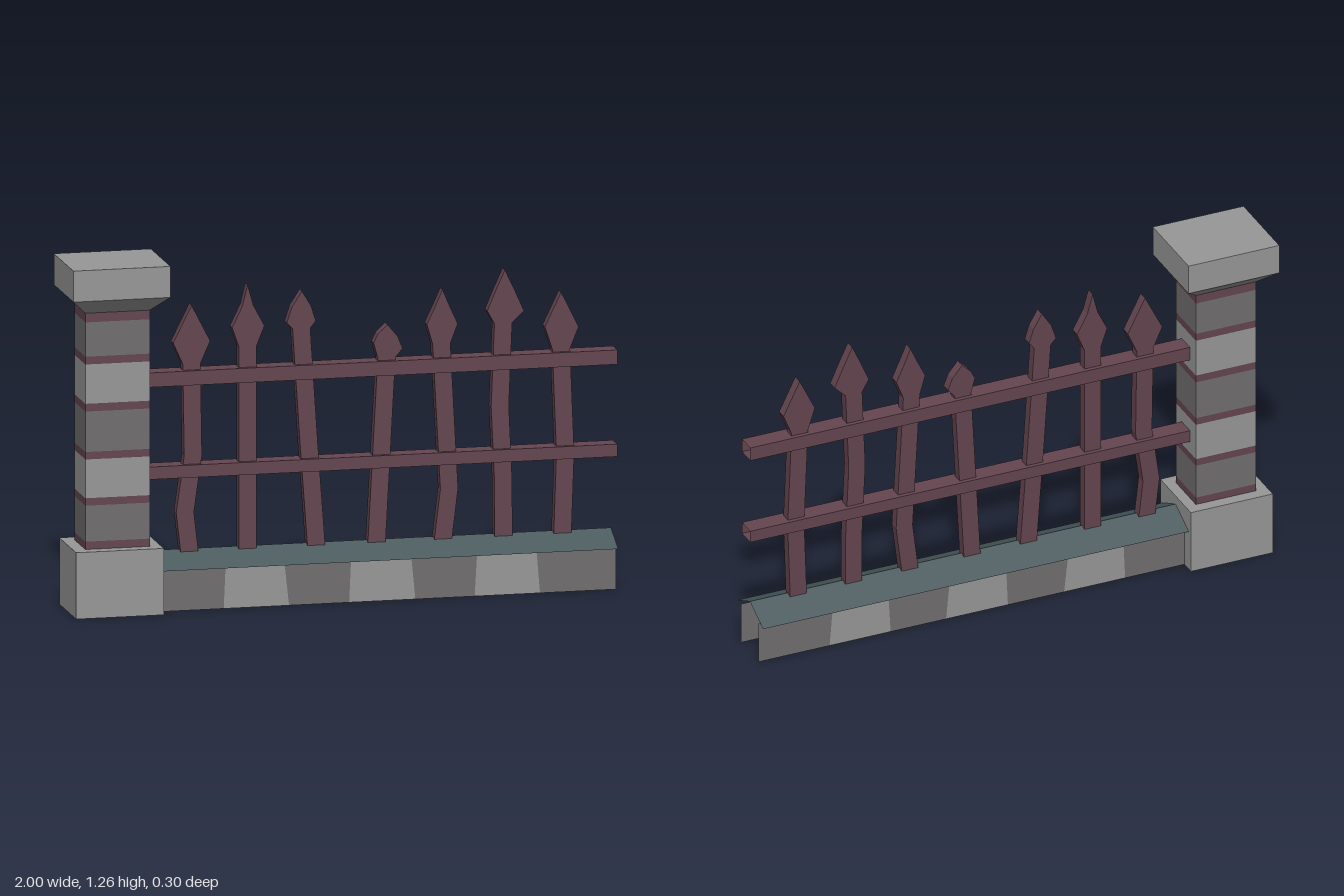
import * as THREE from 'three';

const mat = (name, color) => {
  const m = new THREE.MeshStandardMaterial({ color, side: THREE.DoubleSide, flatShading: true });
  m.name = name;
  return m;
};

// Faces of a box, in BoxGeometry order
const PX = 0, NX = 1, PY = 2, NY = 3, PZ = 4, NZ = 5;
const SIDES = [PX, NX, PZ, NZ];

// Box between two corners that keeps only the listed faces
function box(x0, x1, y0, y1, z0, z1, keep) {
  const g = new THREE.BoxGeometry(x1 - x0, y1 - y0, z1 - z0);
  g.translate((x0 + x1) / 2, (y0 + y1) / 2, (z0 + z1) / 2);
  const index = Array.from(g.index.array);
  g.clearGroups();
  g.setIndex(keep.flatMap((f) => index.slice(f * 6, f * 6 + 6)));
  return g;
}

// Move every vertex of a geometry by a rule
function reshape(g, rule) {
  const p = g.attributes.position;
  const v = new THREE.Vector3();
  for (let i = 0; i < p.count; i++) {
    rule(v.fromBufferAttribute(p, i));
    p.setXYZ(i, v.x, v.y, v.z);
  }
  g.computeVertexNormals();
  return g;
}

export function createModel() {
  const model = new THREE.Group();
  const light = mat('light stone', 0x979797);
  const dark = mat('dark stone', 0x706d6e);
  const iron = mat('rusty iron', 0x64454f);
  const slate = mat('slate', 0x4a5a5d);

  const add = (name, geometry, material, parent = model) => {
    const mesh = new THREE.Mesh(geometry, material);
    mesh.name = name;
    parent.add(mesh);
    return mesh;
  };
  const group = (name) => {
    const g = new THREE.Group();
    g.name = name;
    model.add(g);
    return g;
  };

  // Pillar: base, banded shaft, flared cap
  const pillar = group('pillar');
  const cx = -0.824;
  add('pillarBase', box(-0.985, -0.667, 0, 0.24, -0.13, 0.13, [...SIDES, PY]), light, pillar);
  const bands = [0.24, 0.268, 0.398, 0.425, 0.565, 0.592, 0.738, 0.766, 0.908, 0.936, 1.06, 1.093];
  for (let i = 0; i < bands.length - 1; i++) {
    const joint = i % 2 === 0;
    const stone = i % 4 === 1 ? dark : light;
    add(joint ? 'shaftJoint' : 'shaftBlock',
      box(-0.941, -0.707, bands[i], bands[i + 1], -0.085, 0.085, SIDES), joint ? iron : stone, pillar);
  }
  const flare = box(-1, -0.648, 1.093, 1.15, -0.152, 0.152, SIDES);
  add('capFlare', reshape(flare, (v) => {
    if (v.y < 1.12) {
      v.x = cx + Math.sign(v.x - cx) * 0.117;
      v.z = Math.sign(v.z) * 0.085;
    }
  }), light, pillar);
  add('pillarCap', box(-1, -0.648, 1.15, 1.262, -0.152, 0.152, [...SIDES, PY]), light, pillar);

  // Low wall: front and back faces of alternating blocks with slightly slanted joints
  const wall = group('wall');
  const joints = [ // [x at top, x at bottom]
    [-0.667, -0.667], [-0.43, -0.437], [-0.217, -0.2], [0.025, 0.018], [0.243, 0.258],
    [0.482, 0.473], [0.697, 0.71], [0.985, 0.985],
  ];
  for (let i = 0; i < 7; i++) {
    const g = box(0, 1, 0, 0.157, -0.075, 0.075, [PZ, NZ]);
    add('wallBlock', reshape(g, (v) => {
      v.x = joints[i + Math.round(v.x)][v.y > 0.05 ? 0 : 1];
    }), i % 2 ? light : dark, wall);
  }

  // Sloping coping on the wall, open underneath
  const coping = new THREE.PlaneGeometry(1.652, 0.224, 1, 2);
  coping.rotateX(-Math.PI / 2);
  coping.translate(0.159, 0, 0);
  add('coping', reshape(coping, (v) => {
    v.y = Math.abs(v.z) > 0.05 ? 0.153 : 0.207;
  }).toNonIndexed(), slate, wall).geometry.computeVertexNormals();

  // Rails, open at the ends
  const fence = group('fence');
  for (const [y0, y1] of [[0.47, 0.515], [0.803, 0.855]]) {
    add('rail', box(-0.71, 1, y0, y1, -0.035, 0.035, [PY, NY, PZ, NZ]), iron, fence);
  }

  // Crooked pickets: centre line from the foot to the neck, then the spear head
  const pickets = [
    { line: [[-0.548, 0.2], [-0.564, 0.342], [-0.535, 0.545], [-0.54, 0.877]],
      left: [-0.607, 0.955], right: [-0.473, 0.957], tip: [-0.54, 1.088], bulge: 0.5 },
    { line: [[-0.337, 0.2], [-0.337, 0.93]],
      left: [-0.393, 1.0], right: [-0.276, 1.002], tip: [-0.337, 1.152], bulge: 0.34 },
    { line: [[-0.088, 0.2], [-0.115, 0.57], [-0.142, 0.985]],
      left: [-0.195, 1.008], right: [-0.09, 1.01], tip: [-0.14, 1.12], bulge: 0.66 },
    { line: [[0.131, 0.2], [0.167, 0.865]],
      left: [0.12, 0.92], right: [0.225, 0.895], tip: [0.17, 0.984], bulge: 0.68 },
    { line: [[0.372, 0.2], [0.394, 0.38], [0.366, 0.905]],
      left: [0.313, 0.978], right: [0.425, 0.975], tip: [0.37, 1.1], bulge: 0.48 },
    { line: [[0.591, 0.2], [0.59, 0.4], [0.578, 0.67], [0.59, 0.968]],
      left: [0.532, 1.015], right: [0.665, 1.01], tip: [0.596, 1.16], bulge: 0.52 },
    { line: [[0.805, 0.2], [0.815, 0.49], [0.8, 0.865]],
      left: [0.741, 0.948], right: [0.863, 0.942], tip: [0.8, 1.07], bulge: 0.5 },
  ];
  const half = 0.032;
  for (const { line, left, right, tip, bulge } of pickets) {
    // shoulder between the widest point and the tip
    const shoulder = ([x, y]) => [tip[0] + (x - tip[0]) * bulge, y + (tip[1] - y) * 0.5];
    const outline = [
      ...line.map(([x, y]) => [x + half, y]), right, shoulder(right), tip,
      shoulder(left), left, ...line.map(([x, y]) => [x - half, y]).reverse(),
    ].map(([x, y]) => new THREE.Vector2(x, y));
    const g = new THREE.ExtrudeGeometry(new THREE.Shape(outline), { depth: 0.038, bevelEnabled: false });
    g.translate(0, 0, -0.019);
    add('picket', g, iron, fence);
  }

  return model;
}
